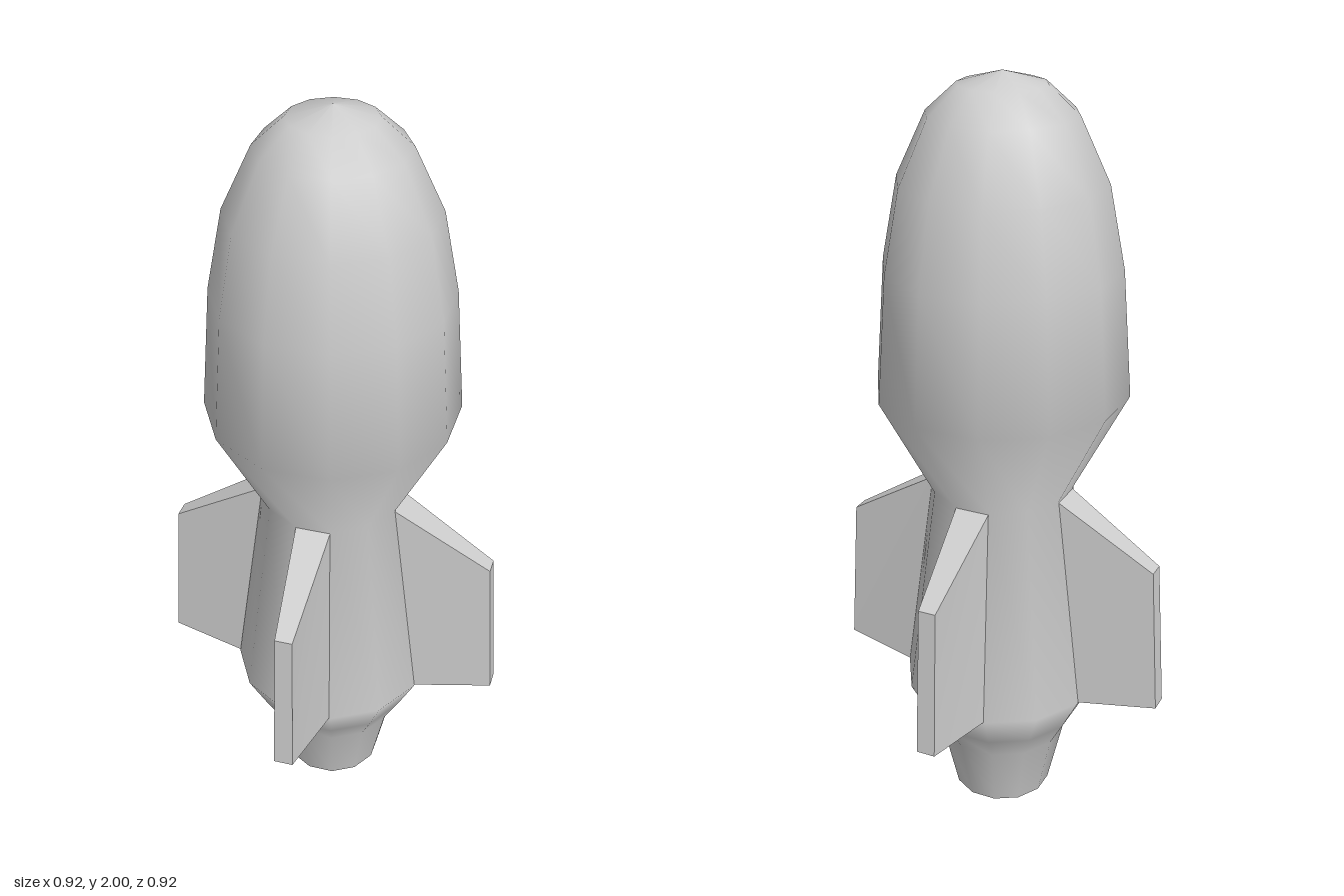
import * as THREE from 'three';

const SIDES = 12;
const APOTHEM = Math.cos(Math.PI / SIDES);

// Twelve-sided lathe with flats facing the axes; profile radii are measured to the flats.
function turned(name, profile, material) {
  const points = profile.map(([r, y]) => new THREE.Vector2(r / APOTHEM, y));
  const mesh = new THREE.Mesh(
    new THREE.LatheGeometry(points, SIDES, Math.PI / SIDES, Math.PI * 2), material);
  mesh.name = name;
  return mesh;
}

// Tapered fin growing from one flat of the body: a box with its corners moved.
function finGeometry() {
  const corners = {
    innerTop: [0.175, 0.932, 0.046], innerBottom: [0.245, 0.35, 0.066],
    outerTop: [0.435, 0.77, 0.023], outerBottom: [0.46, 0.367, 0.025],
  };
  const geometry = new THREE.BoxGeometry(1, 1, 1);
  const p = geometry.attributes.position;
  for (let i = 0; i < p.count; i++) {
    const key = (p.getX(i) > 0 ? 'outer' : 'inner') + (p.getY(i) > 0 ? 'Top' : 'Bottom');
    const [x, y, halfWidth] = corners[key];
    p.setXYZ(i, x, y, Math.sign(p.getZ(i)) * halfWidth);
  }
  geometry.computeVertexNormals();
  return geometry;
}

export function createModel() {
  const model = new THREE.Group();
  model.name = 'rocket';
  const grey = new THREE.MeshStandardMaterial({ color: 0xcccccc });
  grey.name = 'light grey';

  // Warhead, waist, motor and nozzle in one smooth body
  model.add(turned('body', [
    [0.127, 0], [0.167, 0.18], [0.205, 0.25], [0.255, 0.35], [0.18, 0.932],
    [0.315, 1.2], [0.291, 1.53], [0.252, 1.74], [0.18, 1.9], [0.106, 1.97], [0, 2],
  ], grey));

  // Shallow hollow in the nozzle end
  model.add(turned('nozzleHollow', [[0, 0.04], [0.085, 0.03], [0.127, 0]], grey));

  // Four fins
  const geometry = finGeometry();
  for (let i = 0; i < 4; i++) {
    const fin = new THREE.Mesh(geometry, grey);
    fin.name = 'fin' + (i + 1);
    fin.rotation.y = i * Math.PI / 2;
    model.add(fin);
  }
  return model;
}
